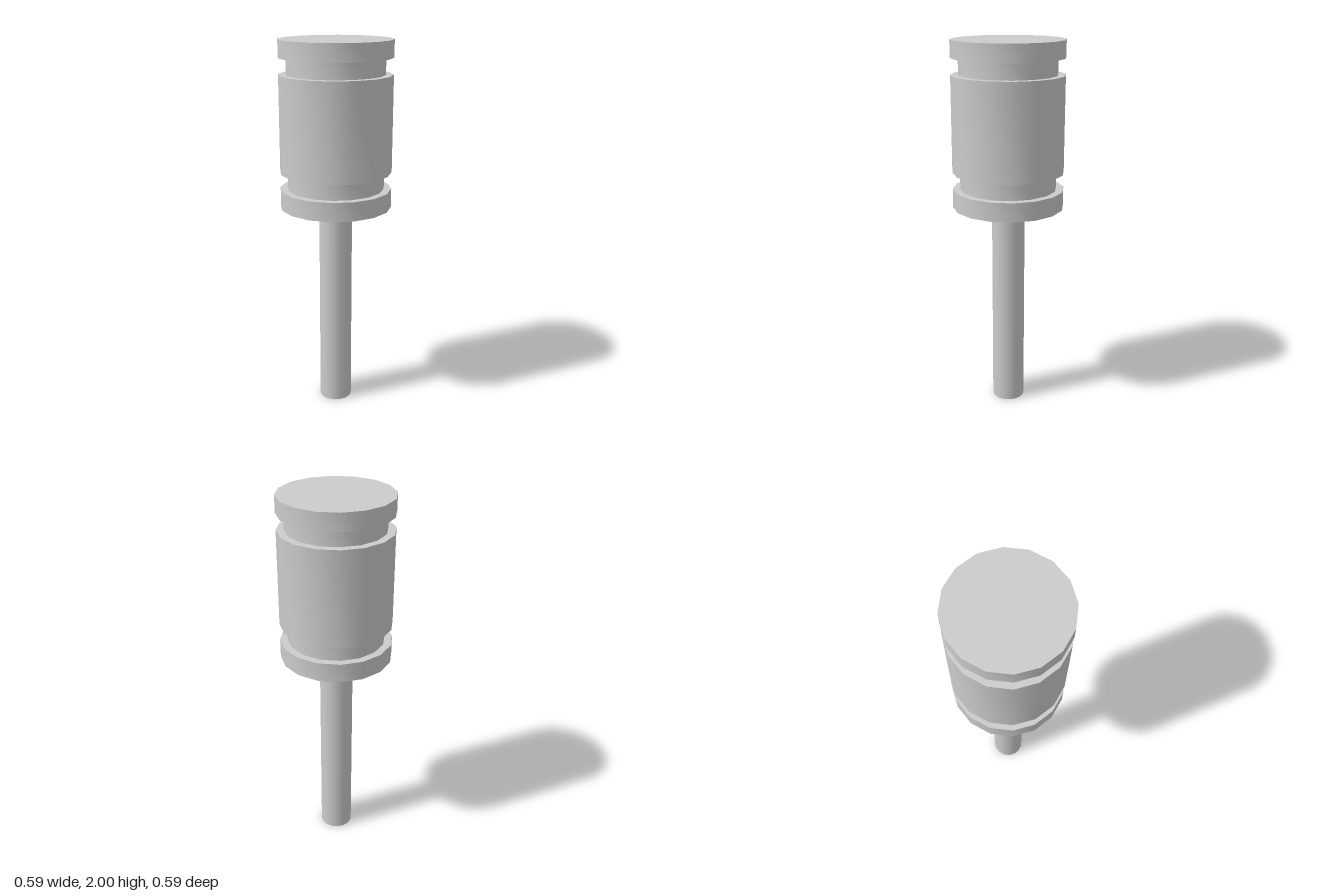
import * as THREE from 'three';
import { toCreasedNormals } from 'three/addons/utils/BufferGeometryUtils.js';

const SIDES = 16;

export function createModel() {
  const group = new THREE.Group();
  const material = new THREE.MeshStandardMaterial({ color: 0xcccccc });
  const openMaterial = new THREE.MeshStandardMaterial({ color: 0xcccccc, side: THREE.DoubleSide });

  const add = (name, geometry, mat) => {
    const mesh = new THREE.Mesh(geometry, mat);
    mesh.name = name;
    group.add(mesh);
  };

  // Head: closed turned profile, two end bands and a body separated by grooves
  const outer = 0.295, groove = 0.255;
  const sections = [ // radius, bottom, top
    [outer, 1.13, 1.23],
    [groove, 1.23, 1.32],
    [outer, 1.32, 1.825],
    [groove, 1.825, 1.91],
    [outer, 1.91, 2],
  ];
  const profile = [new THREE.Vector2(0, 1.13)];
  for (const [r, y0, y1] of sections) {
    profile.push(new THREE.Vector2(r, y0), new THREE.Vector2(r, y1));
  }
  profile.push(new THREE.Vector2(0, 2));
  add('head', toCreasedNormals(new THREE.LatheGeometry(profile, SIDES), 0.7), material);

  // Handle: plain tube, open at the bottom
  const handle = new THREE.CylinderGeometry(0.088, 0.088, 1.13, SIDES, 1, true);
  handle.translate(0, 0.565, 0);
  add('handle', handle, openMaterial);

  return group;
}
